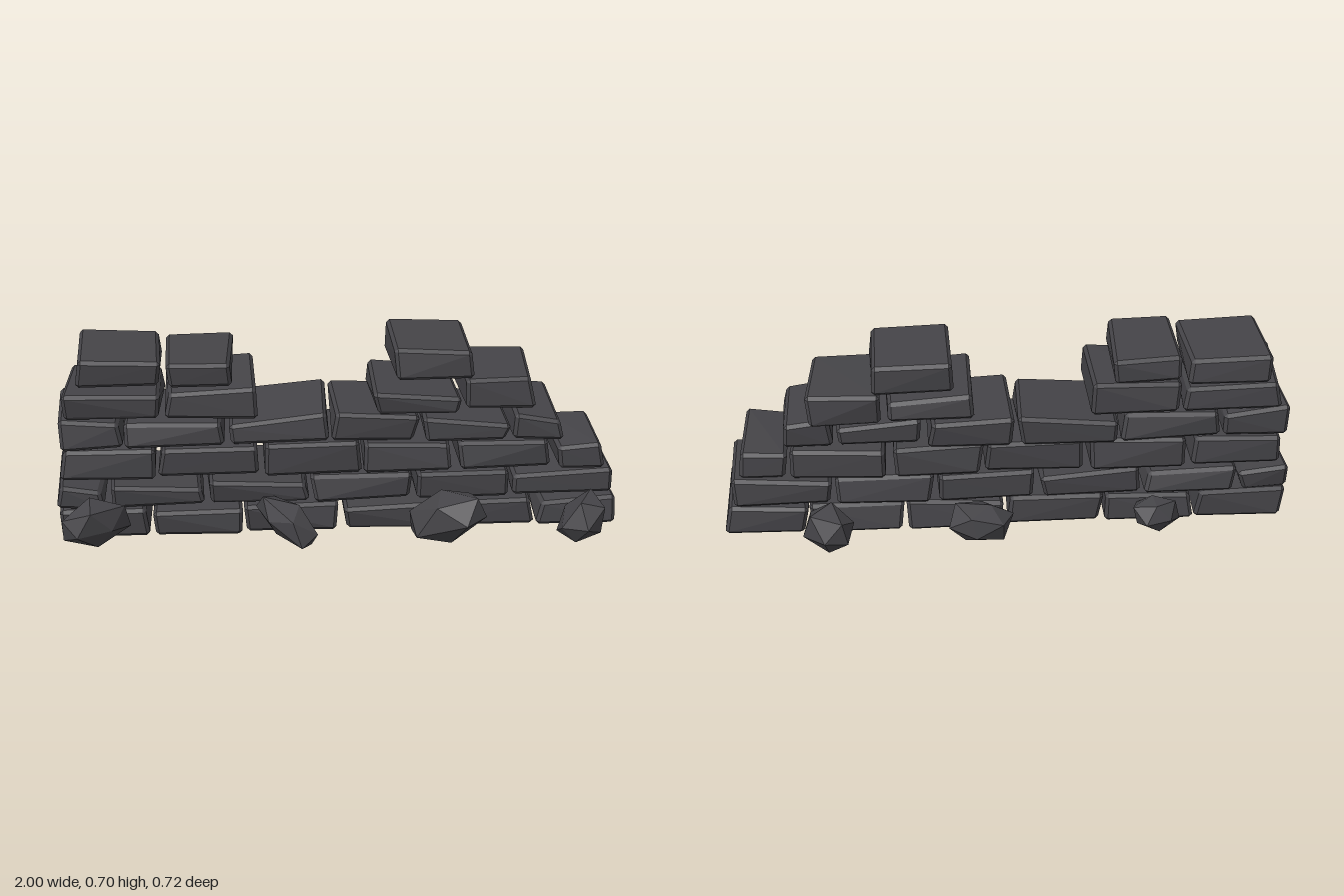
import * as THREE from 'three';
import { ConvexGeometry } from 'three/addons/geometries/ConvexGeometry.js';

// Small seeded generator so the stones are uneven but repeatable
function makeRandom(seed) {
  return () => {
    seed = (seed * 1664525 + 1013904223) % 4294967296;
    return seed / 4294967296;
  };
}

// Rough block: eight uneven corners, each cut into three points for the bevel.
// dropLeft and dropRight lower the two ends of its top.
function brickGeometry(min, max, dropLeft, dropRight, random) {
  const points = [];
  const bevel = 0.012;
  const frontDrop = random() * 0.015;
  for (const sx of [-1, 1]) for (const sy of [-1, 1]) for (const sz of [-1, 1]) {
    const x = (sx < 0 ? min.x : max.x) - sx * random() * 0.022;
    const drop = sy > 0 ? (sx < 0 ? dropLeft : dropRight) + (sz > 0 ? frontDrop : 0) : 0;
    const y = (sy < 0 ? min.y : max.y) - sy * random() * 0.008 - drop;
    const z = (sz < 0 ? min.z : max.z) - sz * random() * 0.02;
    const bx = x - sx * bevel, by = y - sy * bevel, bz = z - sz * bevel;
    points.push(
      new THREE.Vector3(x, by, bz),
      new THREE.Vector3(bx, y, bz),
      new THREE.Vector3(bx, by, z)
    );
  }
  return new ConvexGeometry(points);
}

// Faceted rock: a distorted, leaning icosahedron fitted between two corners
function rockGeometry(min, max, leanY, leanZ, random) {
  const g = (1 + Math.sqrt(5)) / 2;
  const turn = new THREE.Euler(random() * 6, random() * 6, random() * 6);
  const points = [];
  for (const a of [-1, 1]) for (const b of [-g, g]) {
    for (const p of [[0, a, b], [a, b, 0], [b, 0, a]]) {
      const v = new THREE.Vector3(...p).multiplyScalar(0.85 + random() * 0.3).applyEuler(turn);
      v.y += v.x * leanY;
      v.z += v.x * leanZ;
      points.push(v);
    }
  }
  const from = new THREE.Box3().setFromPoints(points);
  const scale = max.clone().sub(min).divide(from.getSize(new THREE.Vector3()));
  points.forEach((p) => p.sub(from.min).multiply(scale).add(min));
  return new ConvexGeometry(points);
}

// Courses from the ground up; each run lists the joints between its bricks.
// Bricks: drop of the left and right end, shift in z, all in hundredths.
const courses = [
  {
    y: 0.015, top: 0.135, runs: [[-1, -0.67, -0.345, 0, 0.36, 0.7, 1]],
    bricks: [[0, 0], [1, 1], [0, 0], [2, 0], [0, 0], [1, 0]],
  },
  {
    y: 0.13, top: 0.243, runs: [[-1, -0.82, -0.48, -0.11, 0.255, 0.61, 0.98]],
    bricks: [[1, 3], [1, 3], [0, 2], [0, 0], [0, 0], [2, 0]],
  },
  {
    y: 0.237, top: 0.365, runs: [[-0.98, -0.64, -0.28, 0.08, 0.405, 0.755, 0.94]],
    bricks: [[1, 1], [0, 0], [0, 0], [0, 1], [1, 1], [3, 2, 2]],
  },
  {
    y: 0.355, top: 0.473, runs: [[-0.99, -0.755, -0.395, -0.035, 0.28, 0.6, 0.79]],
    bricks: [[0, 2], [1, 1], [3, 0, -2], [0, 1, -1], [2, 4, 2], [0, 2, 2]],
  },
  {
    y: 0.46, top: 0.587, runs: [[-0.96, -0.61, -0.28], [0.11, 0.43, 0.69]],
    bricks: [[2, 3], [1, 0], [3, 5, 1], [0, 0, -2]],
  },
  {
    y: 0.578, top: 0.7, runs: [[-0.92, -0.61, -0.36], [0.18, 0.48]],
    bricks: [[1, 2, -2], [2, 3, 1], [0, 1, -2]],
  },
];

// Loose rocks at the foot: left edge, right edge, bottom, top, outer z, lean in y and z
const rocks = [
  [-0.97, -0.74, 0.04, 0.21, 0.3, 0, -0.5],
  [-0.3, -0.09, 0.02, 0.2, 0.32, -0.6, 0.5],
  [0.24, 0.5, 0.03, 0.21, 0.355, 0.5, 0.5],
  [0.77, 0.93, 0, 0.17, 0.33, 0.3, 0],
  [-0.61, -0.44, 0.03, 0.15, -0.32, 0, 0],
  [-0.02, 0.21, 0.02, 0.16, -0.345, 0, 0],
  [0.54, 0.72, 0.01, 0.175, -0.36, 0, 0.3],
];

export function createModel() {
  const model = new THREE.Group();
  model.name = 'ruinedWall';
  const stone = new THREE.MeshStandardMaterial({ color: 0x454448, flatShading: true });
  stone.name = 'dark stone';
  const random = makeRandom(17);

  courses.forEach(({ y, top, runs, bricks }, row) => {
    const course = new THREE.Group();
    course.name = `course${row + 1}`;
    const spans = runs.flatMap((joints) => joints.slice(1).map((end, i) => [joints[i], end]));
    spans.forEach(([left, right], i) => {
      const [dropLeft, dropRight, shift = 0] = bricks[i].map((n) => n / 100);
      const min = new THREE.Vector3(left, y, -0.2 + shift);
      const max = new THREE.Vector3(right, top, 0.137 + shift);
      const brick = new THREE.Mesh(brickGeometry(min, max, dropLeft, dropRight, random), stone);
      brick.name = `brick${row + 1}_${i + 1}`;
      course.add(brick);
    });
    model.add(course);
  });

  rocks.forEach(([left, right, bottom, top, reach, leanY, leanZ], i) => {
    // Inner side tucks against the front or back of the wall
    const inner = reach > 0 ? 0.12 : -0.19;
    const min = new THREE.Vector3(left, bottom, Math.min(inner, reach));
    const max = new THREE.Vector3(right, top, Math.max(inner, reach));
    const rock = new THREE.Mesh(rockGeometry(min, max, leanY, leanZ, random), stone);
    rock.name = `rock${i + 1}`;
    model.add(rock);
  });
  return model;
}
